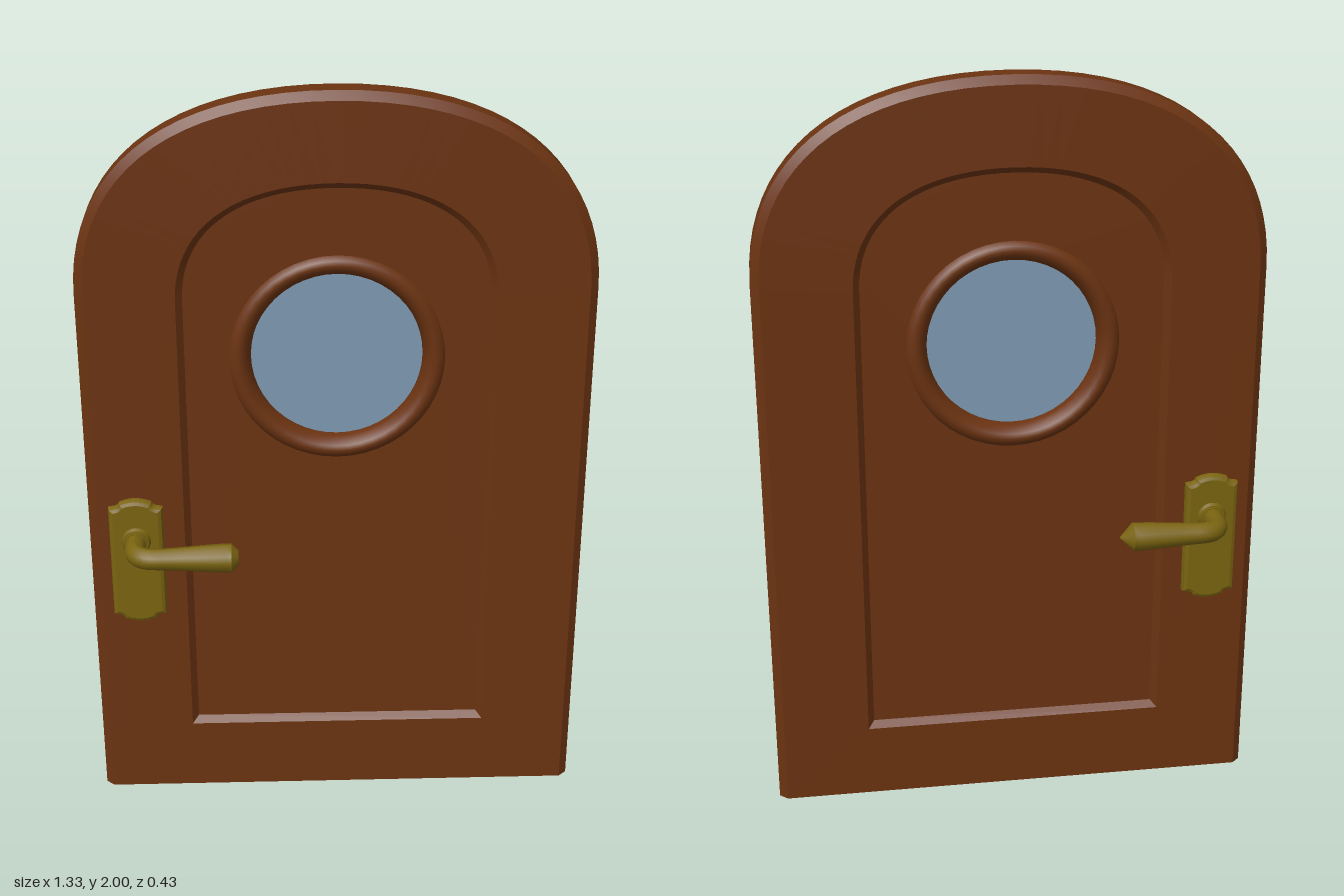
import * as THREE from 'three';
import { toCreasedNormals } from 'three/addons/utils/BufferGeometryUtils.js';

const wood = new THREE.MeshStandardMaterial({ name: 'wood', color: 0x6b3311 });
const brass = new THREE.MeshStandardMaterial({ name: 'brass', color: 0x7a6410 });
const glass = new THREE.MeshStandardMaterial({ name: 'glass', color: 0x7e9ab3 });

const HALF = 0.054;    // half thickness of the door
const RECESS = 0.036;  // half thickness at the sunken panel
const WINDOW_Y = 1.305;

function add(parent, name, geometry, material, x = 0, y = 0, z = 0) {
  const mesh = new THREE.Mesh(geometry, material);
  mesh.name = name;
  mesh.position.set(x, y, z);
  parent.add(mesh);
  return mesh;
}

// Arched outline, counter-clockwise from the lower right corner
function arch(w, bottom, spring, top) {
  const curve = new THREE.CubicBezierCurve(
    new THREE.Vector2(w, spring), new THREE.Vector2(w, spring + 0.6 * (top - spring)),
    new THREE.Vector2(w * 0.66, top), new THREE.Vector2(0, top));
  const right = [new THREE.Vector2(w, bottom), ...curve.getPoints(20)];
  const left = right.slice(0, -1).reverse().map(p => new THREE.Vector2(-p.x, p.y));
  return [...right, ...left];
}

// Skin through matching outlines, each at its own depth
function loft(rings) {
  const n = rings[0].points.length;
  const pos = [], index = [];
  for (const { points, z } of rings) for (const p of points) pos.push(p.x, p.y, z);
  for (let r = 0; r < rings.length - 1; r++) {
    for (let i = 0; i < n; i++) {
      const j = (i + 1) % n, a = r * n, b = a + n;
      index.push(a + i, b + i, b + j, a + i, b + j, a + j);
    }
  }
  const g = new THREE.BufferGeometry();
  g.setAttribute('position', new THREE.Float32BufferAttribute(pos, 3));
  g.setIndex(index);
  return toCreasedNormals(g, 0.6);
}

function makeDoor() {
  const door = new THREE.Group();
  door.name = 'door';
  const outer = arch(0.665, 0, 1.49, 2);
  const rim = arch(0.643, 0, 1.49, 1.978);
  const panelOuter = arch(0.41, 0.205, 1.47, 1.775);
  const panelInner = arch(0.393, 0.222, 1.47, 1.758);

  // Frame with chamfered sides and a sloped step to the panel
  const front = [
    { points: panelInner, z: RECESS }, { points: panelOuter, z: HALF },
    { points: rim, z: HALF }, { points: outer, z: HALF - 0.02 },
  ];
  const back = front.map(r => ({ points: r.points, z: -r.z })).reverse();
  add(door, 'doorFrame', loft([...front, ...back]), wood);

  // Sunken panels with a round window opening
  const shape = new THREE.Shape(panelInner);
  shape.holes.push(new THREE.Path().absarc(0, WINDOW_Y, 0.25, 0, Math.PI * 2, true));
  const panel = new THREE.ShapeGeometry(shape, 24);
  add(door, 'frontPanel', panel, wood, 0, 0, RECESS);
  add(door, 'backPanel', panel, wood, 0, 0, -RECESS).rotation.y = Math.PI;

  // Window
  const ring = new THREE.TorusGeometry(0.255, 0.033, 16, 48);
  ring.scale(1, 1, 1.58);
  add(door, 'windowRing', ring, wood, 0, WINDOW_Y, 0);
  const pane = new THREE.CylinderGeometry(0.24, 0.24, 0.01, 48);
  pane.rotateX(Math.PI / 2);
  add(door, 'windowPane', pane, glass, 0, WINDOW_Y, 0);
  return door;
}

// Escutcheon with a raised crest at both ends
function plateGeometry() {
  const w = 0.06, h = 0.172;
  const s = new THREE.Shape();
  s.moveTo(w, -h + 0.022);
  s.lineTo(w, h - 0.022);
  s.quadraticCurveTo(w - 0.02, h - 0.02, w - 0.026, h - 0.007);
  s.quadraticCurveTo(0, h + 0.007, -w + 0.026, h - 0.007);
  s.quadraticCurveTo(-w + 0.02, h - 0.02, -w, h - 0.022);
  s.lineTo(-w, -h + 0.022);
  s.quadraticCurveTo(-w + 0.02, -h + 0.02, -w + 0.026, -h + 0.007);
  s.quadraticCurveTo(0, -h - 0.007, w - 0.026, -h + 0.007);
  s.quadraticCurveTo(w - 0.02, -h + 0.02, w, -h + 0.022);
  return new THREE.ExtrudeGeometry(s, {
    depth: 0.01, bevelThickness: 0.014, bevelSize: 0.012, bevelSegments: 2, curveSegments: 6,
  });
}

// Bent lever that swells towards its end
function leverGeometry(length) {
  const v = (x, z) => new THREE.Vector3(x, 0, z);
  const path = new THREE.CurvePath();
  path.add(new THREE.LineCurve3(v(0, 0.07), v(0, 0.125)));
  path.add(new THREE.QuadraticBezierCurve3(v(0, 0.125), v(0, 0.182), v(0.06, 0.182)));
  path.add(new THREE.LineCurve3(v(0.06, 0.182), v(length, 0.179)));
  const rows = 28, sides = 12;
  const g = new THREE.TubeGeometry(path, rows, 1, sides);
  const p = g.attributes.position, q = new THREE.Vector3();
  for (let i = 0; i < p.count; i++) {
    const t = Math.floor(i / (sides + 1)) / rows;
    const c = path.getPointAt(t);
    const radius = 0.028 + 0.01 * THREE.MathUtils.smoothstep(t, 0.4, 1);
    q.fromBufferAttribute(p, i).sub(c).multiplyScalar(radius).add(c);
    p.setXYZ(i, q.x, q.y, q.z);
  }
  g.computeVertexNormals();
  return g;
}

// side 1 is the front, -1 the back
function makeHandle(side) {
  const handle = new THREE.Group();
  handle.name = side > 0 ? 'frontHandle' : 'backHandle';
  handle.position.set(-0.538, 0.738, 0);
  if (side < 0) handle.rotation.x = Math.PI;
  const y = side * 0.067;

  add(handle, 'handlePlate', plateGeometry(), brass, 0, 0, 0.054);
  const collars = [[0.034, 0.042, 0.08], [0.031, 0.031, 0.088]];
  for (const [top, base, z] of collars) {
    const collar = new THREE.CylinderGeometry(top, base, 0.014, 20);
    collar.rotateX(Math.PI / 2);
    add(handle, 'handleCollar', collar, brass, 0, y, z);
  }

  // The front lever ends blunt, the back one in a point
  const tip = side > 0 ? 0.018 : 0.034;
  const length = 0.274 - tip;
  add(handle, 'lever', leverGeometry(length), brass, 0, y, 0);
  const end = new THREE.CylinderGeometry(side > 0 ? 0.02 : 0.003, 0.038, tip, 12);
  end.rotateZ(-Math.PI / 2);
  add(handle, 'leverTip', end, brass, length + tip / 2, y, 0.179);
  return handle;
}

export function createModel() {
  const model = new THREE.Group();
  model.name = 'archedDoor';
  model.add(makeDoor(), makeHandle(1), makeHandle(-1));
  model.position.z = -0.003;
  return model;
}
